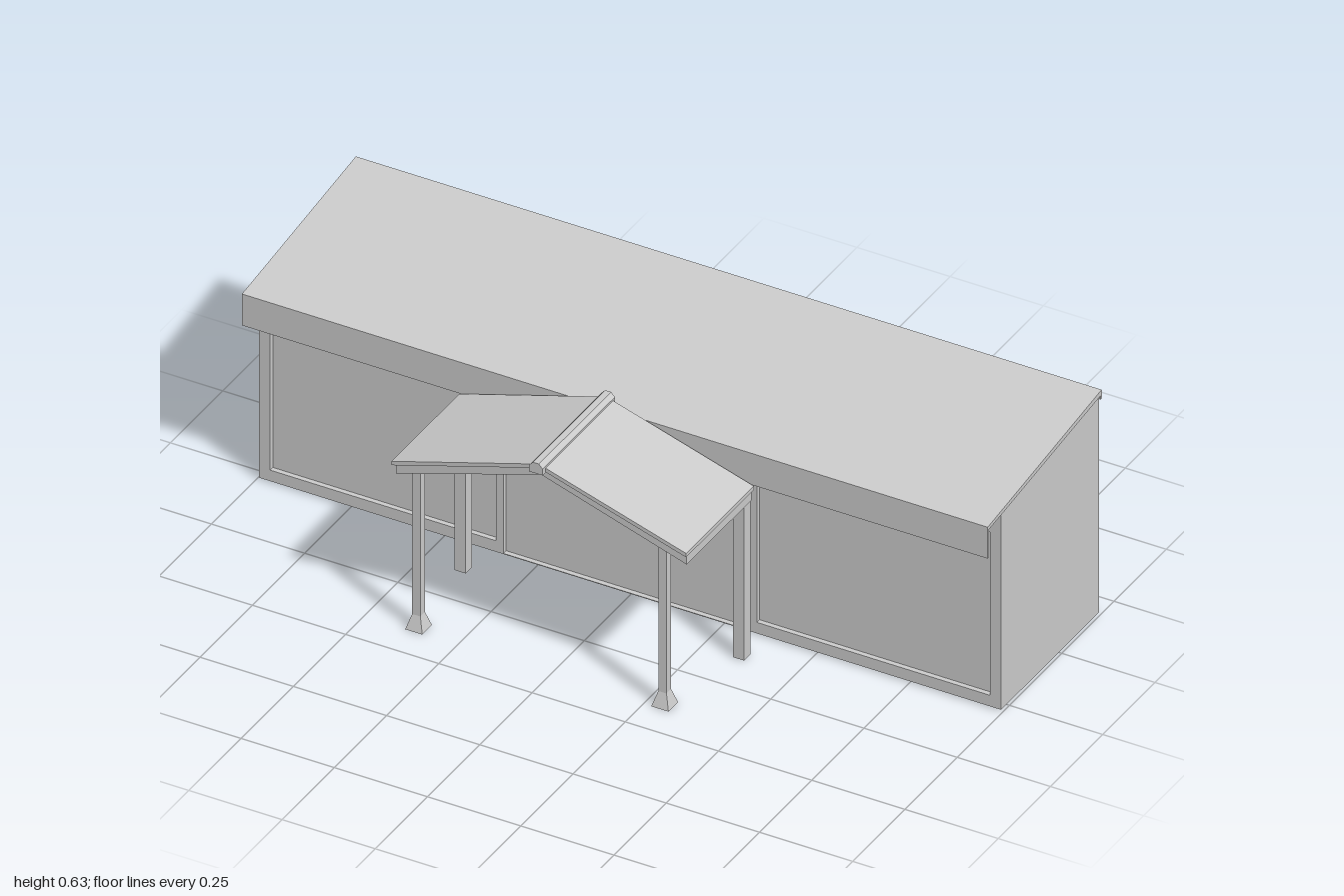
import * as THREE from 'three';

const material = new THREE.MeshStandardMaterial({ color: 0xcccccc, flatShading: true });

function add(parent, name, geometry, x = 0, y = 0, z = 0) {
  const mesh = new THREE.Mesh(geometry, material);
  mesh.name = name;
  mesh.position.set(x, y, z);
  parent.add(mesh);
  return mesh;
}

const outline = (pts) => new THREE.Shape(pts.map(([x, y]) => new THREE.Vector2(x, y)));
const rectPath = (x0, y0, x1, y1) =>
  new THREE.Path([[x0, y0], [x1, y0], [x1, y1], [x0, y1]].map(([x, y]) => new THREE.Vector2(x, y)));

// Extrude an (x, y) outline from z0 to z1
function extrudeZ(shape, z0, z1) {
  return new THREE.ExtrudeGeometry(shape, { depth: z1 - z0, bevelEnabled: false }).translate(0, 0, z0);
}

// Extrude a (z, y) side profile across x, centred on x = 0
function extrudeX(profile, width) {
  const shape = outline(profile.map(([z, y]) => [-z, y]));
  return extrudeZ(shape, -width / 2, width / 2).rotateY(Math.PI / 2);
}

// Gabled band that follows the canopy slope
function chevron(cx, half, eave, apex, thick, z0, z1) {
  return extrudeZ(outline([
    [cx - half, eave], [cx, apex], [cx + half, eave],
    [cx + half, eave + thick], [cx, apex + thick], [cx - half, eave + thick],
  ]), z0, z1);
}

function createBuilding() {
  const building = new THREE.Group();
  building.name = 'building';

  // Main volume with a sloping top
  add(building, 'body', extrudeX([[-0.437, 0.004], [0.018, 0.004], [0.018, 0.564], [-0.437, 0.618]], 1.99));

  // Front wall frame around two side panels and a central doorway
  const frame = outline([[-0.995, 0.004], [0.995, 0.004], [0.995, 0.561], [-0.995, 0.561]]);
  frame.holes.push(
    rectPath(-0.965, 0.035, -0.36, 0.495),
    rectPath(0.34, 0.035, 0.965, 0.495),
    rectPath(-0.34, 0.006, 0.32, 0.415),
  );
  add(building, 'frontFrame', extrudeZ(frame, 0.018, 0.031));

  // Single-pitch roof sheet with a turned-down rear edge
  add(building, 'mainRoof', extrudeX([
    [0.104, 0.563], [0.104, 0.553], [0.03, 0.561], [-0.436, 0.617],
    [-0.436, 0.606], [-0.441, 0.606], [-0.443, 0.618], [-0.441, 0.631],
  ], 2));

  // Deep fascia under the front overhang
  add(building, 'fascia', new THREE.BoxGeometry(2, 0.087, 0.007), 0, 0.518, 0.1005);
  return building;
}

function createCanopy() {
  const canopy = new THREE.Group();
  canopy.name = 'entranceCanopy';
  const cx = -0.02;

  // Gabled framing, roof sheet and ridge cap
  add(canopy, 'gableFrame', chevron(cx, 0.39, 0.436, 0.561, 0.029, 0.11, 0.42));
  add(canopy, 'canopyRoof', chevron(cx, 0.395, 0.465, 0.587, 0.011, 0.108, 0.432));
  add(canopy, 'ridgeCap', extrudeZ(outline([
    [cx - 0.018, 0.58], [cx + 0.018, 0.58], [cx + 0.018, 0.598],
    [cx + 0.008, 0.609], [cx - 0.008, 0.609], [cx - 0.018, 0.598],
  ]), 0.1, 0.446));

  // Front posts on flared feet
  for (const x of [-0.366, 0.294]) {
    const post = new THREE.Group();
    post.name = 'frontPost';
    post.position.set(x, 0, 0.39);
    add(post, 'shaft', new THREE.BoxGeometry(0.022, 0.45, 0.022), 0, 0.233, 0);
    const foot = new THREE.CylinderGeometry(0.011 * Math.SQRT2, 0.023 * Math.SQRT2, 0.04, 4).rotateY(Math.PI / 4);
    add(post, 'foot', foot, 0, 0.02, 0);
    canopy.add(post);
  }

  // Rear posts beside the doorway
  for (const x of [-0.395, 0.352]) {
    add(canopy, 'rearPost', new THREE.BoxGeometry(0.03, 0.444, 0.03), x, 0.222, 0.125);
  }
  return canopy;
}

export function createModel() {
  const model = new THREE.Group();
  model.name = 'pavilion';
  model.add(createBuilding(), createCanopy());
  return model;
}
